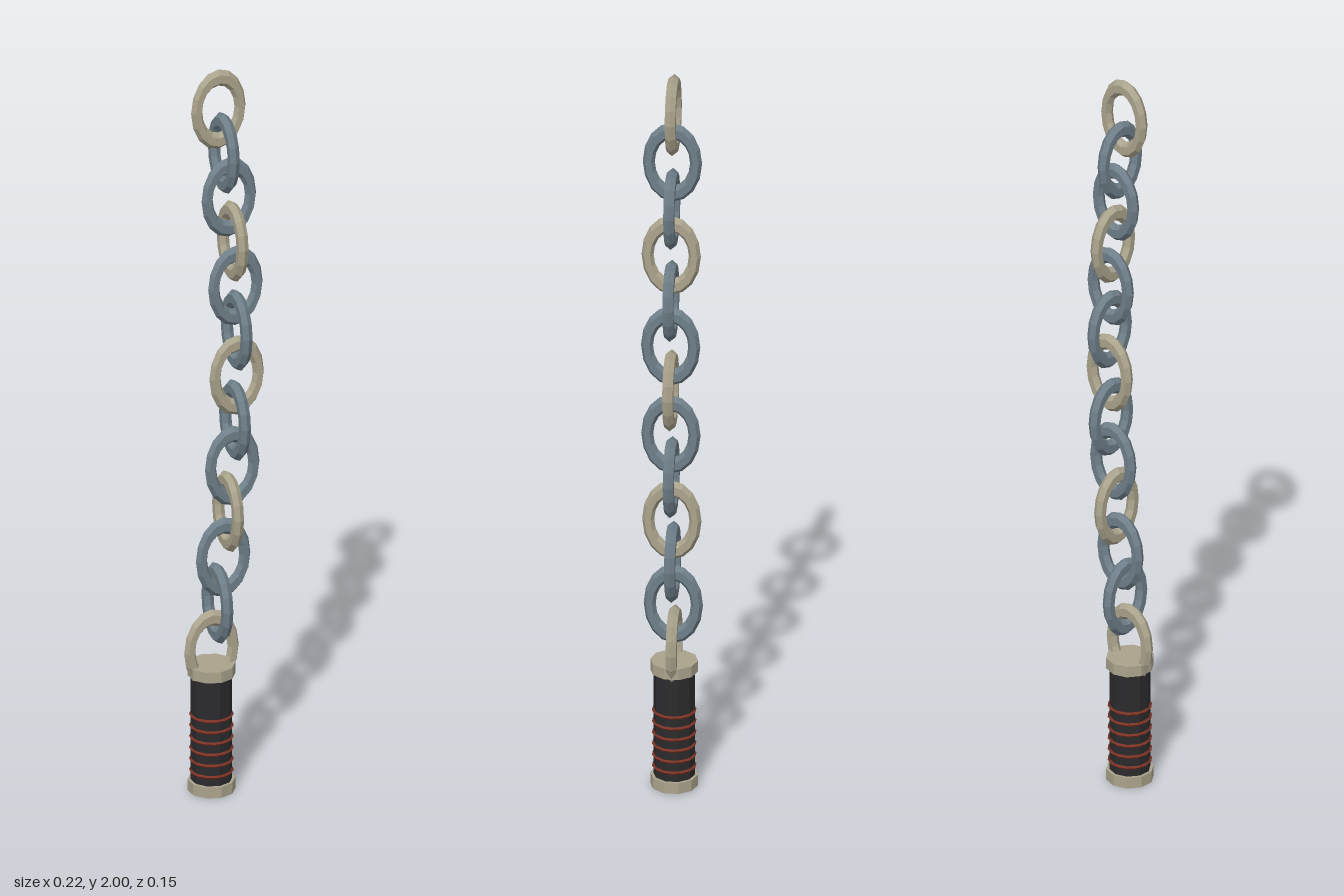
import * as THREE from 'three';

export function createModel() {
  const group = new THREE.Group();
  const mat = (name, color) => {
    const m = new THREE.MeshStandardMaterial({ color, flatShading: true });
    m.name = name;
    return m;
  };
  const bone = mat('pale metal', 0xaaa38c);
  const steel = mat('blue steel', 0x6f7f89);
  const wrap = mat('dark grip', 0x2b2b2d);
  const red = mat('red cord', 0x7c3325);

  const add = (parent, name, geometry, material, x, y) => {
    const mesh = new THREE.Mesh(geometry, material);
    mesh.name = name;
    mesh.position.set(x, y, 0);
    parent.add(mesh);
    return mesh;
  };

  // Handle: grip with a cap at each end and cord rings on the lower half
  const baseX = -0.037;
  const handle = new THREE.Group();
  handle.name = 'handle';
  handle.position.x = baseX;
  group.add(handle);
  const cap = new THREE.CylinderGeometry(0.061, 0.061, 0.03, 10);
  add(handle, 'pommel', cap, bone, 0, 0.015);
  add(handle, 'collar', cap, bone, 0, 0.335);
  add(handle, 'grip', new THREE.CylinderGeometry(0.053, 0.053, 0.3, 10), wrap, 0, 0.175);
  const cord = new THREE.TorusGeometry(0.052, 0.005, 5, 14).rotateX(Math.PI / 2);
  for (let i = 0; i < 6; i++) add(handle, 'gripCord', cord, red, 0, 0.055 + i * 0.031);

  // Chain: oval links turned alternately, swaying sideways along a sine
  const chain = new THREE.Group();
  chain.name = 'chain';
  group.add(chain);
  const link = new THREE.TorusGeometry(0.0605, 0.0155, 6, 16).scale(1, 1.45, 1);
  for (let i = 0; i < 13; i++) {
    const x = baseX + 0.071 * Math.sin(i * 0.239);
    const mesh = add(chain, 'chainLink', link, i % 3 ? steel : bone, x, 0.39 + i * 0.125);
    mesh.rotation.y = i % 2 ? Math.PI / 2 : 0;
  }
  return group;
}
